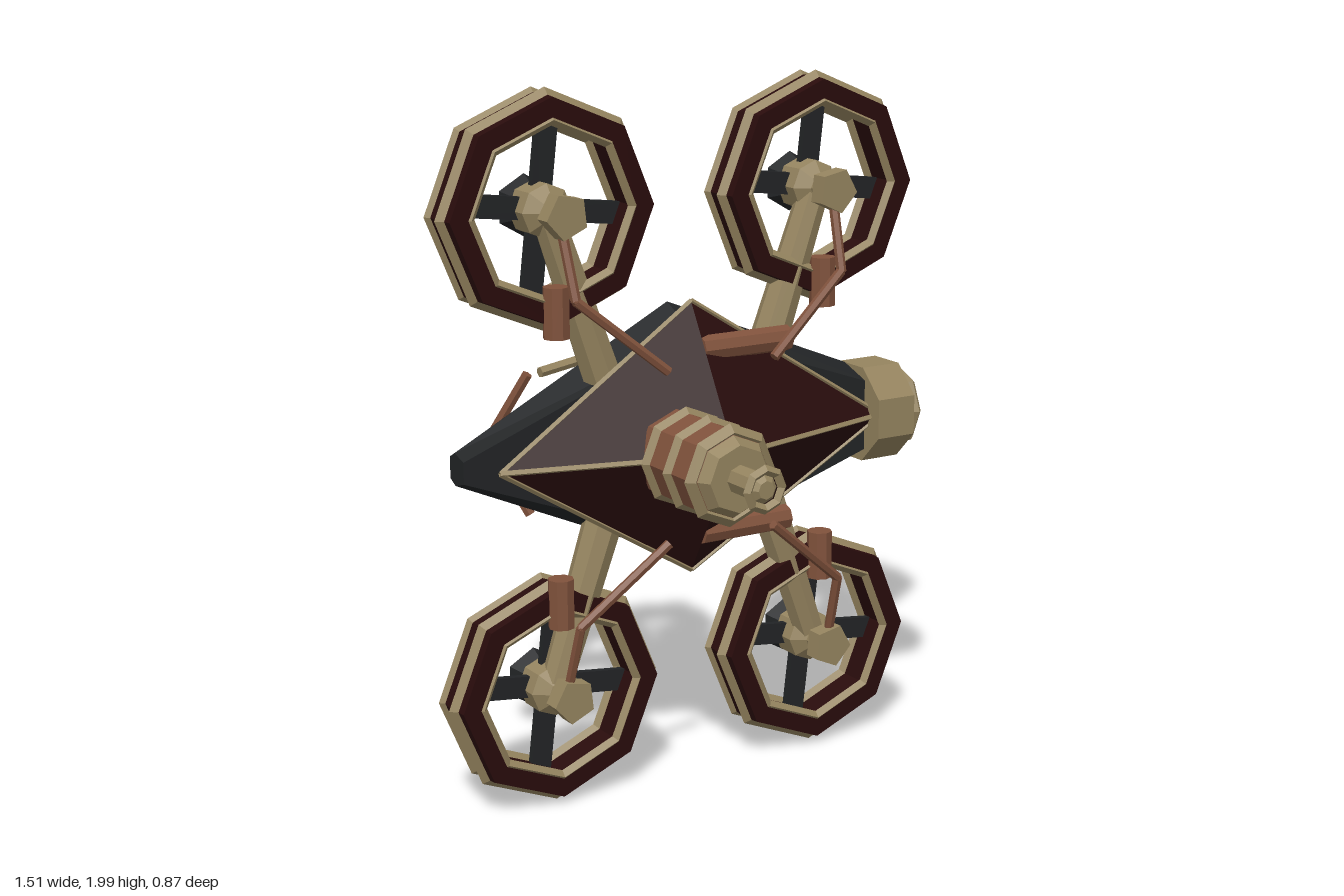
import * as THREE from 'three';

const mat = (name, color) => {
  const m = new THREE.MeshStandardMaterial({ color, flatShading: true });
  m.name = name;
  return m;
};

export function createModel() {
  const root = new THREE.Group();
  root.name = 'quadRotorCraft';
  const tan = mat('dull brass', 0x95845f);
  const red = mat('dark maroon', 0x290c0c);
  const black = mat('charcoal', 0x222426);
  const copper = mat('copper', 0x80523c);
  const gold = mat('gold', 0xa98743);
  const V = (x, y, z) => new THREE.Vector3(x, y, z);

  const add = (parent, name, geo, material, x = 0, y = 0, z = 0) => {
    const m = new THREE.Mesh(geo, material);
    m.name = name;
    m.position.set(x, y, z);
    parent.add(m);
    return m;
  };
  // Cylinder between two points
  const rod = (parent, name, a, b, r0, r1, sides, material) => {
    const d = b.clone().sub(a);
    const m = add(parent, name, new THREE.CylinderGeometry(r1, r0, d.length(), sides), material);
    m.position.copy(a).add(b).multiplyScalar(0.5);
    m.quaternion.setFromUnitVectors(V(0, 1, 0), d.normalize());
    return m;
  };
  // Bent pipe through a few points
  const pipe = (name, pts, r, material) => {
    const g = new THREE.Group();
    g.name = name;
    for (let i = 1; i < pts.length; i++) rod(g, name + 'Section', pts[i - 1], pts[i], r, r, 6, material);
    for (let i = 1; i < pts.length - 1; i++) add(g, name + 'Elbow', new THREE.IcosahedronGeometry(r * 1.02, 0), material, ...pts[i].toArray());
    root.add(g);
  };
  const triangles = (tris) => {
    const g = new THREE.BufferGeometry().setFromPoints(tris.flat());
    g.computeVertexNormals();
    return g;
  };
  // Profile of [radius, z] turned about the z axis
  const turned = (pts, sides) =>
    new THREE.LatheGeometry(pts.map(p => new THREE.Vector2(p[0], p[1])), sides).rotateX(Math.PI / 2);

  // Rear hull, lofted along x: [x, peak, front half height, back half height, zFront, zPeak, zBack]
  const sections = [
    [-0.71, 0.045, 0.03, 0.03, -0.14, -0.19, -0.22],
    [0, 0.367, 0.3, 0.24, -0.135, -0.272, -0.358],
    [0.6, 0.125, 0.09, 0.08, -0.1, -0.2, -0.275],
  ].map(([x, p, f, b, zf, zp, zb]) => [
    V(x, 1 + p, zp), V(x, 1 + f, zf), V(x, 1 - f, zf),
    V(x, 1 - p, zp), V(x, 1 - b, zb), V(x, 1 + b, zb),
  ]);
  const hull = [];
  for (let s = 0; s < 2; s++) {
    const a = sections[s], b = sections[s + 1];
    for (let i = 0; i < 6; i++) {
      const j = (i + 1) % 6;
      hull.push([a[i], a[j], b[j]], [a[i], b[j], b[i]]);
    }
  }
  for (let i = 1; i < 5; i++) {
    hull.push([sections[2][0], sections[2][i], sections[2][i + 1]]);
    hull.push([sections[0][0], sections[0][i + 1], sections[0][i]]);
  }
  add(root, 'rearHull', triangles(hull), black);

  // Front armour: four-sided pyramid with trimmed edges
  const apex = V(0, 1, 0.08), inner = V(0, 1, -0.12);
  const rim = [V(0.61, 1, -0.085), V(0, 1.39, -0.145), V(-0.63, 1, -0.085), V(0, 0.615, -0.145)];
  const plates = [];
  rim.forEach((p, i) => {
    const q = rim[(i + 1) % 4];
    plates.push([apex, p, q], [inner, q, p]);
    rod(root, 'armourEdgeTrim', p, q, 0.008, 0.008, 4, tan);
  });
  add(root, 'frontArmour', triangles(plates), red);
  rod(root, 'ridgeTrim', rim[0], apex, 0.009, 0.009, 4, tan);
  rod(root, 'ridgeTrim', rim[2], apex, 0.009, 0.009, 4, tan);

  // Nose turret, pointing forward
  const turret = new THREE.Group();
  turret.name = 'turret';
  turret.position.set(-0.125, 1, 0);
  root.add(turret);
  add(turret, 'turretBody', turned([[0, -0.02], [0.125, -0.02], [0.125, 0.25], [0.09, 0.295], [0, 0.295]], 8), copper);
  for (const z of [0.03, 0.14, 0.25]) add(turret, 'turretBand', new THREE.TorusGeometry(0.12, 0.022, 4, 8), tan, 0, 0, z);
  add(turret, 'turretCap', turned([[0.115, 0.262], [0.092, 0.299], [0, 0.299]], 8), tan);
  add(turret, 'barrel', turned([[0.04, 0.28], [0.04, 0.41], [0.025, 0.425], [0, 0.425]], 8), tan);
  add(turret, 'muzzleRing', new THREE.TorusGeometry(0.053, 0.014, 4, 8), tan, 0, 0, 0.416);

  // Side thruster, pointing to +x
  const thruster = new THREE.Group();
  thruster.name = 'thruster';
  thruster.position.set(0, 1, -0.17);
  thruster.rotation.y = Math.PI / 2;
  root.add(thruster);
  const drum = add(thruster, 'thrusterDrum', turned([[0, 0.565], [0.15, 0.565], [0.15, 0.692], [0, 0.692]], 8), tan);
  drum.rotation.z = Math.PI / 8;
  add(thruster, 'thrusterRing', new THREE.TorusGeometry(0.112, 0.014, 4, 8), tan, 0, 0, 0.722);
  add(thruster, 'thrusterGlow', turned([[0.108, 0.685], [0.108, 0.718], [0.05, 0.73], [0, 0.73]], 8), gold);
  add(thruster, 'thrusterCore', turned([[0.05, 0.725], [0.05, 0.74], [0, 0.74]], 8), gold);

  // Four rotors with arms, struts and pipes
  for (const sx of [-1, 1]) for (const sy of [-1, 1]) {
    const y = d => 1 + sy * d;
    const rotor = new THREE.Group();
    rotor.name = 'rotor';
    rotor.position.set(sx * 0.43, y(0.67), 0);
    root.add(rotor);
    add(rotor, 'duct', turned([[0.245, -0.262], [0.305, -0.262], [0.312, -0.195], [0.305, -0.13], [0.245, -0.13], [0.245, -0.262]], 8), red);
    add(rotor, 'ductFrontRim', new THREE.TorusGeometry(0.305, 0.022, 4, 8), tan, 0, 0, -0.175);
    add(rotor, 'ductRearRim', new THREE.TorusGeometry(0.307, 0.014, 4, 8), tan, 0, 0, -0.25);
    for (const z of [-0.14, -0.25]) add(rotor, 'ductInnerRim', new THREE.TorusGeometry(0.245, 0.016, 4, 8), tan, 0, 0, z);
    for (const turn of [0, Math.PI / 2]) {
      const blade = add(rotor, 'blade', new THREE.BoxGeometry(0.5, 0.062, 0.02), black, 0, 0, -0.22);
      blade.rotation.z = turn - 0.12;
    }
    add(rotor, 'hub', turned([[0, -0.25], [0.075, -0.25], [0.075, -0.17], [0.035, -0.14], [0.035, -0.1]], 8), tan);
    add(rotor, 'hubCap', turned([[0, -0.108], [0.064, -0.108], [0.064, -0.055], [0, -0.055]], 5), tan).rotation.z = 0.2 * sx;
    add(rotor, 'motorCone', turned([[0, -0.3], [0.086, -0.3], [0.06, -0.25], [0, -0.25]], 6), black);

    rod(root, 'arm', V(sx * 0.24, y(0.13), -0.18), V(sx * 0.425, y(0.65), -0.175), 0.058, 0.045, 8, tan);
    rod(root, 'armCylinder', V(sx * 0.43, y(0.335), -0.13), V(sx * 0.43, y(0.475), -0.13), 0.037, 0.037, 8, copper);
    pipe('fuelPipe', [V(sx * 0.17, y(0.24), 0.015), V(sx * 0.425, y(0.45), -0.03), V(sx * 0.435, y(0.65), -0.09)], 0.014, copper);
  }

  // Tanks and back pipes, mirrored above and below
  for (const sy of [-1, 1]) {
    const y = d => 1 + sy * d;
    rod(root, 'tank', V(0, y(0.262), -0.1), V(0.29, y(0.262), -0.1), 0.037, 0.037, 8, copper);
    pipe('backPipe', [V(-0.36, y(0.19), -0.36), V(0.18, y(0.255), -0.425), V(0.45, y(0.165), -0.29)], 0.015, tan);
  }
  pipe('tailPipe', [V(-0.42, 1.2, -0.32), V(-0.505, 1, -0.405), V(-0.42, 0.8, -0.32)], 0.015, copper);
  return root;
}
